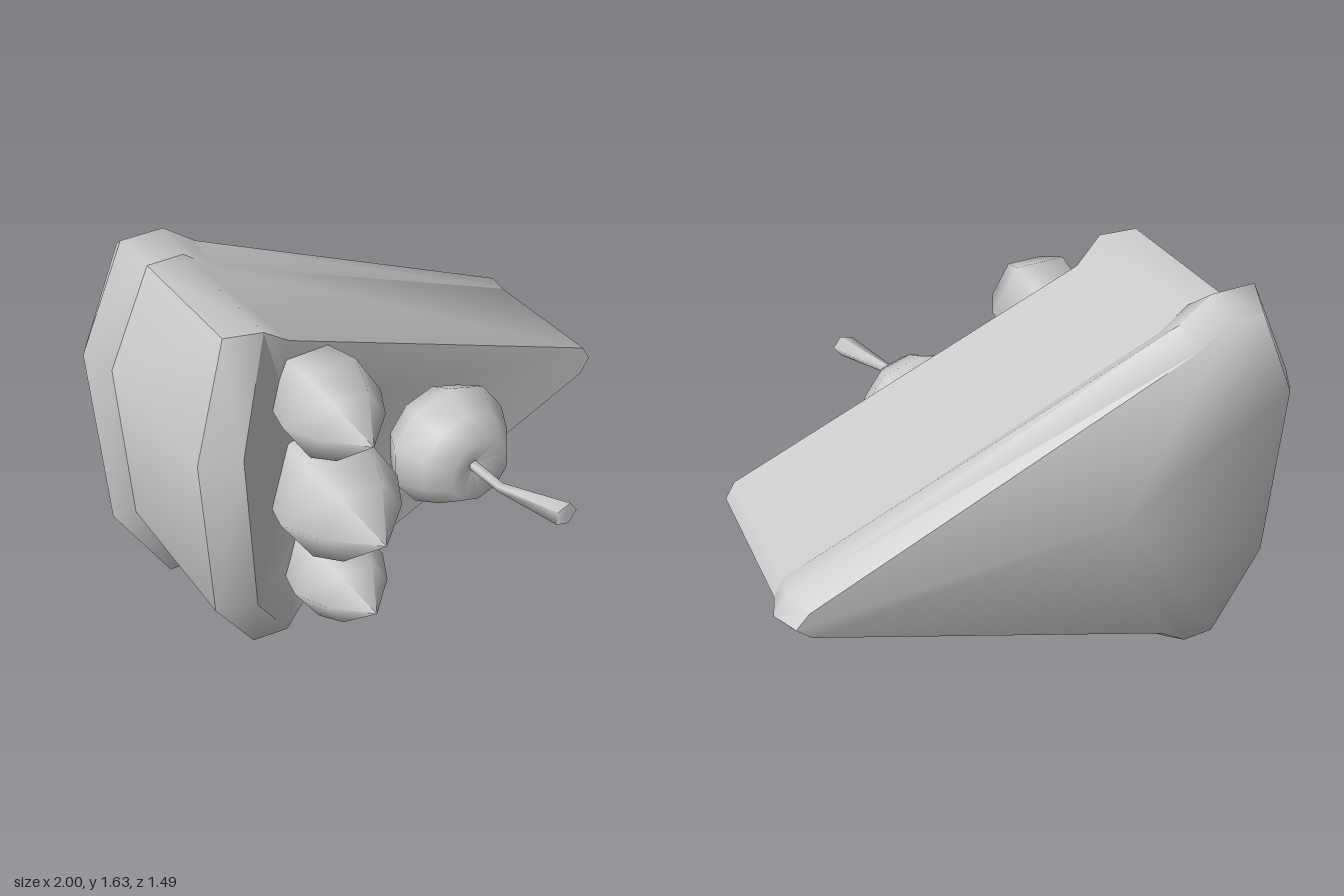
import * as THREE from 'three';
import { toCreasedNormals } from 'three/addons/utils/BufferGeometryUtils.js';

const MID = 0.825; // height of the slice's mirror line
const material = new THREE.MeshStandardMaterial({ color: 0xcccccc });

// Mirrors half an outline [x, height above MID, z]; the last point is the tip.
function ring(half) {
  const up = half.map(([x, h, z]) => new THREE.Vector3(x, MID + h, z));
  const down = half.slice(0, -1).reverse().map(([x, h, z]) => new THREE.Vector3(x, MID - h, z));
  return [...up, ...down];
}

const atDepth = (half, z) => half.map(([x, h]) => [x, h, z]);

// Skins equal rings running from back to front.
function loft(rings) {
  const tris = [];
  for (let k = 0; k + 1 < rings.length; k++) {
    const n = rings[k].length;
    for (let i = 0; i < n; i++) {
      const j = (i + 1) % n;
      const a = rings[k][i], b = rings[k][j], c = rings[k + 1][j], d = rings[k + 1][i];
      tris.push(a, d, c, a, c, b);
    }
  }
  return tris;
}

function cap(points, center, front) {
  return points.flatMap((p, i) => {
    const q = points[(i + 1) % points.length];
    return front ? [center, q, p] : [center, p, q];
  });
}

function solid(name, tris, crease) {
  const geometry = new THREE.BufferGeometry().setFromPoints(tris);
  const mesh = new THREE.Mesh(toCreasedNormals(geometry, crease), material);
  mesh.name = name;
  return mesh;
}

// Turned shape with its axis along z; profile holds [radius, z].
function turned(name, profile, sides, start, x, y) {
  const points = profile.map(([r, z]) => new THREE.Vector2(r, z));
  const geometry = new THREE.LatheGeometry(points, sides, start).rotateX(Math.PI / 2);
  const mesh = new THREE.Mesh(geometry, material);
  mesh.name = name;
  mesh.position.set(x, y, 0);
  return mesh;
}

export function createModel() {
  const group = new THREE.Group();

  // Bottom layer with a bulging rim
  const backHalf = [[-0.95, 0.38], [-0.77, 0.755], [-0.64, 0.755], [-0.52, 0.665], [0.9, 0.055], [0.95, 0]];
  const rimHalf = [[-1, 0.4], [-0.79, 0.815], [-0.62, 0.815], [-0.5, 0.725], [0.94, 0.08], [0.995, 0]];
  const neckHalf = [[-0.93, 0.35], [-0.735, 0.735], [-0.59, 0.735], [-0.48, 0.65], [0.93, 0.07], [0.965, 0]];
  const back = ring(atDepth(backHalf, -0.745));
  const neck = ring(atDepth(neckHalf, -0.565));
  solidBase: {
    const tris = loft([back, ring(atDepth(rimHalf, -0.65)), neck]);
    tris.push(...cap(back, new THREE.Vector3(-0.3, MID, -0.745), false));
    group.add(solid('bottomCrust', tris, 1.1));
  }

  // Body of the slice, with a raised ridge along its wide end
  const top = ring([[-0.925, 0.345, 0.12], [-0.73, 0.725, 0], [-0.59, 0.715, 0.03],
    [-0.48, 0.625, 0], [0.92, 0.065, 0], [0.96, 0, 0]]);
  group.add(solid('sliceSides', loft([neck, top]), 0.8));

  const p = [...top,
    new THREE.Vector3(-0.78, MID + 0.345, 0.18), new THREE.Vector3(-0.78, MID - 0.345, 0.18),
    new THREE.Vector3(-0.5, MID + 0.345, 0), new THREE.Vector3(-0.5, MID - 0.345, 0)];
  const mirror = (i) => (i <= 10 ? 10 - i : [12, 11, 14, 13][i - 11]);
  const upper = [[0, 11, 1], [1, 11, 2], [2, 11, 13], [2, 13, 3], [13, 4, 3]];
  const middle = [[10, 12, 11], [10, 11, 0], [12, 14, 13], [12, 13, 11], [14, 6, 5], [14, 5, 4], [14, 4, 13]];
  const lower = upper.map(([a, b, c]) => [mirror(a), mirror(c), mirror(b)]);
  const topTris = [...upper, ...middle, ...lower].flat().map((i) => p[i]);
  group.add(solid('sliceTop', topTris, 0.8));

  // Row of three pointed berries, the middle one larger
  const berry = [[0.172, 0], [0.202, 0.16], [0.137, 0.29], [0, 0.425]];
  for (const [h, s, depth] of [[0.4, 1, 1], [0, 1.26, 1.17], [-0.4, 1, 1]]) {
    const profile = berry.map(([r, z]) => [r * s, z * depth]);
    group.add(turned('berry', profile, 6, Math.PI / 2, -0.41, MID + h));
  }

  // Round cherry with a dimple
  const cherry = [[0.15, 0], [0.205, 0.05], [0.264, 0.165], [0.205, 0.275], [0.135, 0.365], [0, 0.32]];
  group.add(turned('cherry', cherry, 10, 0, 0.1, 0.845));

  // Bent five-sided stem that widens to its end
  const stem = [[0.1, 0.3, 0.022], [0.105, 0.49, 0.02], [0.205, 0.742, 0.05]].map(([x, z, r]) =>
    Array.from({ length: 5 }, (_, i) => {
      const a = -i * Math.PI * 2 / 5;
      return new THREE.Vector3(x + r * Math.cos(a), 0.848 + r * Math.sin(a), z);
    }));
  const stemTris = loft(stem);
  stemTris.push(...cap(stem[2], new THREE.Vector3(0.205, 0.848, 0.742), true));
  group.add(solid('cherryStem', stemTris, 1.3));

  return group;
}
